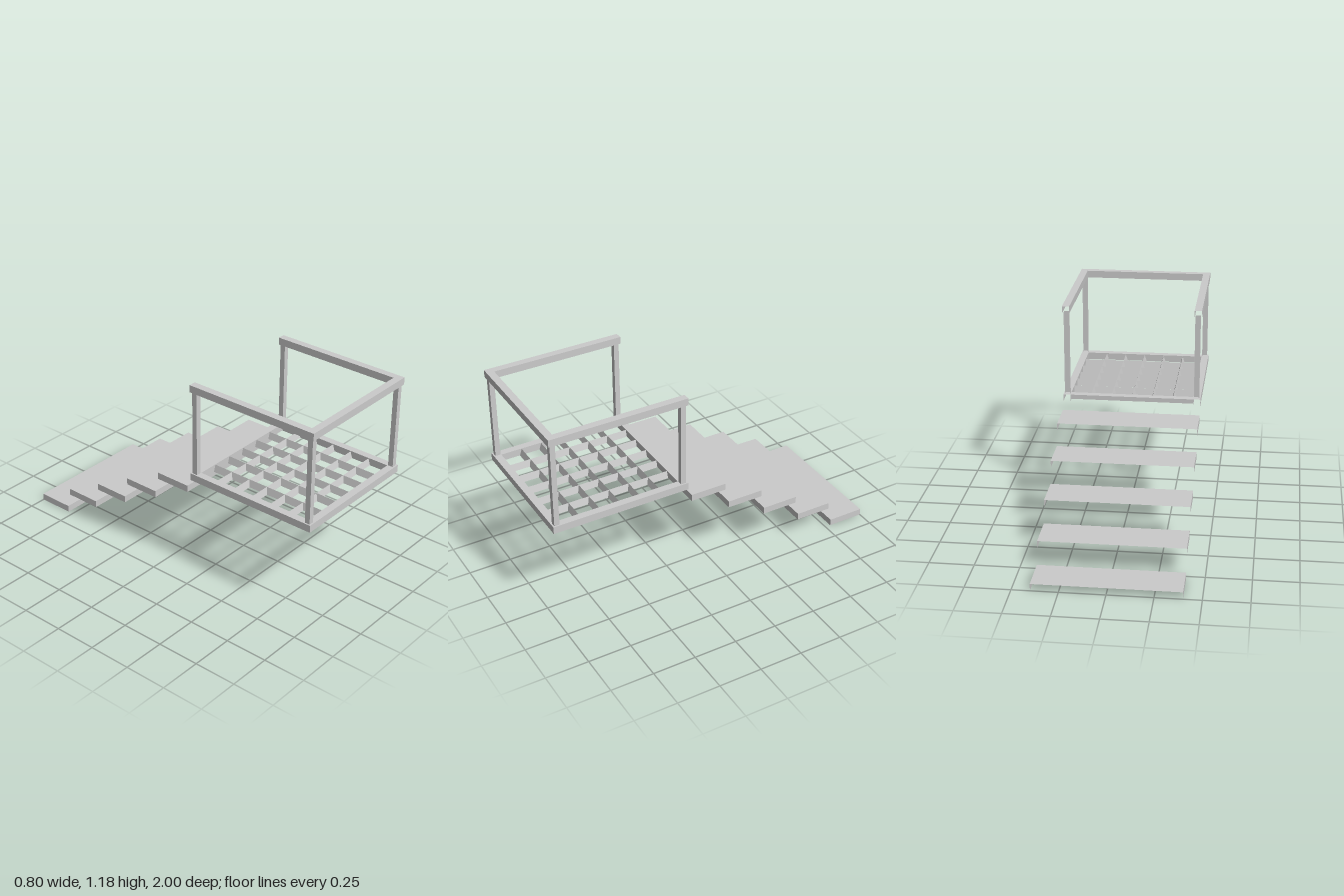
import * as THREE from 'three';

const material = new THREE.MeshStandardMaterial({ color: 0xcccccc, flatShading: true, side: THREE.DoubleSide });
const FACES = ['right', 'left', 'top', 'bottom', 'front', 'back'];

// Sheet-metal box that keeps only the listed faces
function sheetBox(name, [w, h, d], [x, y, z], faces) {
  const geometry = new THREE.BoxGeometry(w, h, d);
  const all = Array.from(geometry.index.array);
  geometry.setIndex(faces.flatMap((f) => {
    const start = FACES.indexOf(f) * 6;
    return all.slice(start, start + 6);
  }));
  geometry.clearGroups();
  const mesh = new THREE.Mesh(geometry, material);
  mesh.name = name;
  mesh.position.set(x, y, z);
  return mesh;
}

// Folded bar: an inverted V running along z
function foldedBar(name, length, halfWidth, height) {
  const positions = [];
  for (const z of [-length / 2, length / 2]) {
    positions.push(-halfWidth, 0, z, 0, height, z, halfWidth, 0, z);
  }
  const geometry = new THREE.BufferGeometry();
  geometry.setAttribute('position', new THREE.Float32BufferAttribute(positions, 3));
  geometry.setIndex([0, 3, 4, 0, 4, 1, 1, 4, 5, 1, 5, 2]);
  geometry.computeVertexNormals();
  const mesh = new THREE.Mesh(geometry, material);
  mesh.name = name;
  return mesh;
}

export function createModel() {
  const model = new THREE.Group();
  model.name = 'platformWithSteps';

  const width = 0.8, rail = 0.042, back = 0.195, front = 1;
  const sideLength = front - back - rail;
  const sideZ = back + sideLength / 2;
  const railX = width / 2 - rail / 2;

  // Platform frame and handrail: channels open underneath and at the back
  for (const [label, y] of [['platform', 0.627], ['hand', 1.162]]) {
    const group = new THREE.Group();
    group.name = label + 'Rails';
    group.add(sheetBox(label + 'FrontRail', [width, rail, rail], [0, y, front - rail / 2],
      ['right', 'left', 'top', 'front', 'back']));
    for (const s of [-1, 1]) {
      group.add(sheetBox(label + (s > 0 ? 'LeftRail' : 'RightRail'), [rail, rail, sideLength],
        [s * railX, y, sideZ], ['right', 'left', 'top']));
    }
    model.add(group);
  }
  model.add(sheetBox('platformBackRail', [width - 2 * rail, rail, rail], [0, 0.627, back + rail / 2],
    ['top', 'front']));

  // Corner posts: channels open towards the back
  for (const s of [-1, 1]) {
    for (const [label, z] of [['front', 0.976], ['back', 0.22]]) {
      model.add(sheetBox(label + 'Post', [0.03, 0.496, 0.03], [s * 0.377, 0.895, z],
        ['right', 'left', 'front']));
    }
  }

  // Floor grating
  const grating = new THREE.Group();
  grating.name = 'grating';
  for (let i = -2; i <= 2; i++) {
    const lengthwise = foldedBar('lengthwiseBar', sideLength - rail, 0.012, 0.04);
    lengthwise.position.set(i * 0.12, 0.606, (front + back) / 2);
    const crosswise = foldedBar('crosswiseBar', width - 2 * rail, 0.012, 0.04);
    crosswise.rotation.y = Math.PI / 2;
    crosswise.position.set(0, 0.606, 0.595 + i * 0.12);
    grating.add(lengthwise, crosswise);
  }
  model.add(grating);

  // Step trays: open underneath and at the back
  for (let i = 0; i < 5; i++) {
    model.add(sheetBox('step', [width, 0.04, 0.216], [0, 0.02 + i * 0.13, -0.892 + i * 0.239],
      ['right', 'left', 'top', 'front']));
  }
  return model;
}
